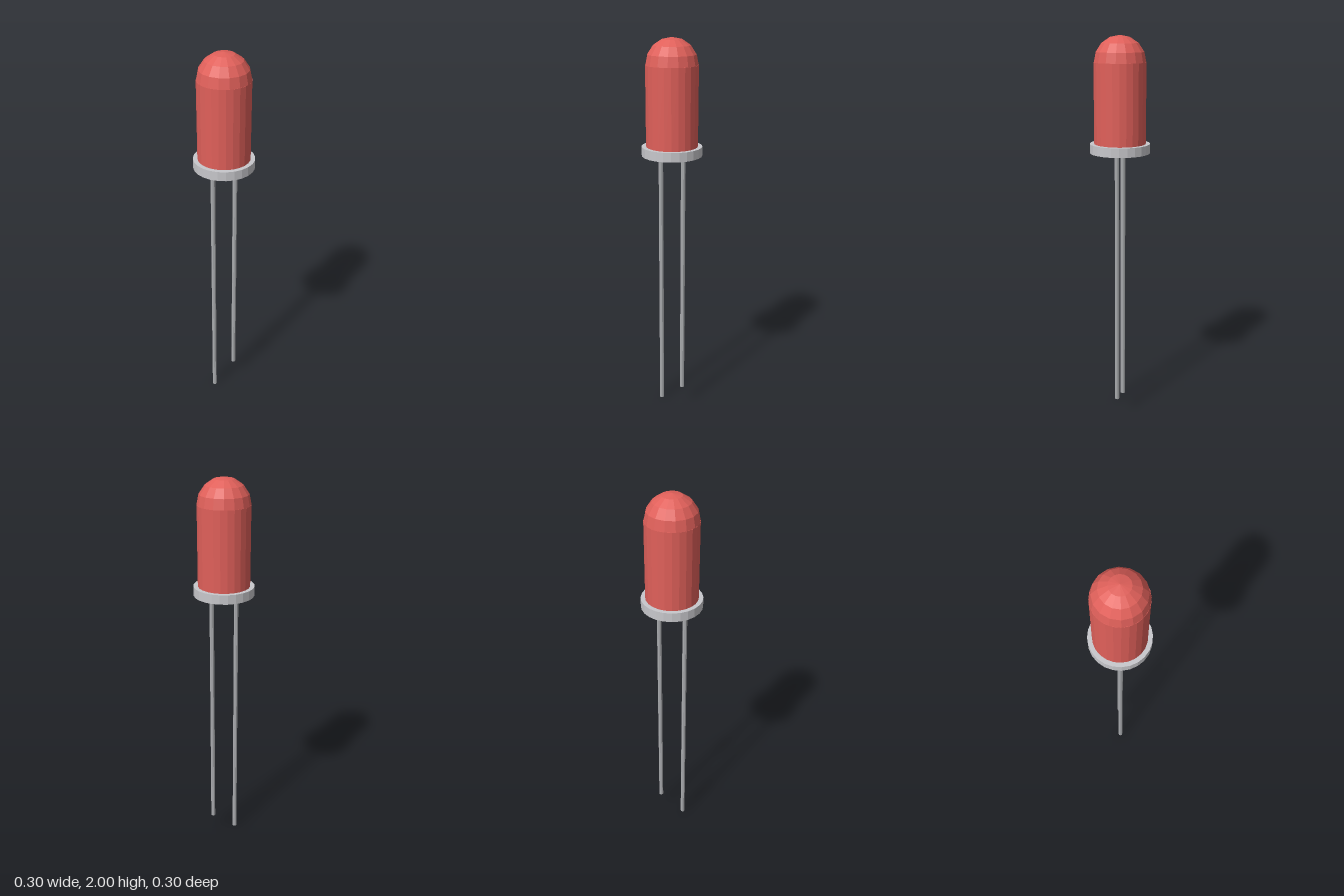
import * as THREE from 'three';

export function createModel() {
  const material = (name, color) => {
    const m = new THREE.MeshStandardMaterial({ color, flatShading: true });
    m.name = name;
    return m;
  };
  const red = material('red plastic', 0xe0605a);
  const silver = material('light grey rim', 0xc8c8cc);
  const steel = material('grey metal', 0xa9abae);

  const model = new THREE.Group();
  model.name = 'lightEmittingDiode';
  const add = (name, geometry, mat, x, y) => {
    const mesh = new THREE.Mesh(geometry, mat);
    mesh.name = name;
    mesh.position.set(x, y, 0);
    model.add(mesh);
  };

  const bodyRadius = 0.13, baseY = 1.425, domeY = 1.87;

  // Cylindrical lens body and its faceted dome
  const bodyHeight = domeY - baseY;
  add('lensBody', new THREE.CylinderGeometry(bodyRadius, bodyRadius, bodyHeight, 24),
    red, 0, baseY + bodyHeight / 2);
  add('lensDome', new THREE.SphereGeometry(bodyRadius, 16, 4, 0, Math.PI * 2, 0, Math.PI / 2),
    red, 0, domeY);

  // Rim around the foot of the body, open in the middle
  const rimProfile = [[0.129, 0], [0.152, 0], [0.152, 0.047], [0.129, 0.047]]
    .map(([r, y]) => new THREE.Vector2(r, y));
  add('baseRim', new THREE.LatheGeometry(rimProfile, 24), silver, 0, baseY);

  // Two wire leads, the one on the model's left being shorter
  for (const [name, x, bottom] of [['longLead', -0.066, 0], ['shortLead', 0.066, 0.11]]) {
    const height = baseY + 0.01 - bottom;
    add(name, new THREE.CylinderGeometry(0.012, 0.012, height, 8), steel, x, bottom + height / 2);
  }

  return model;
}
